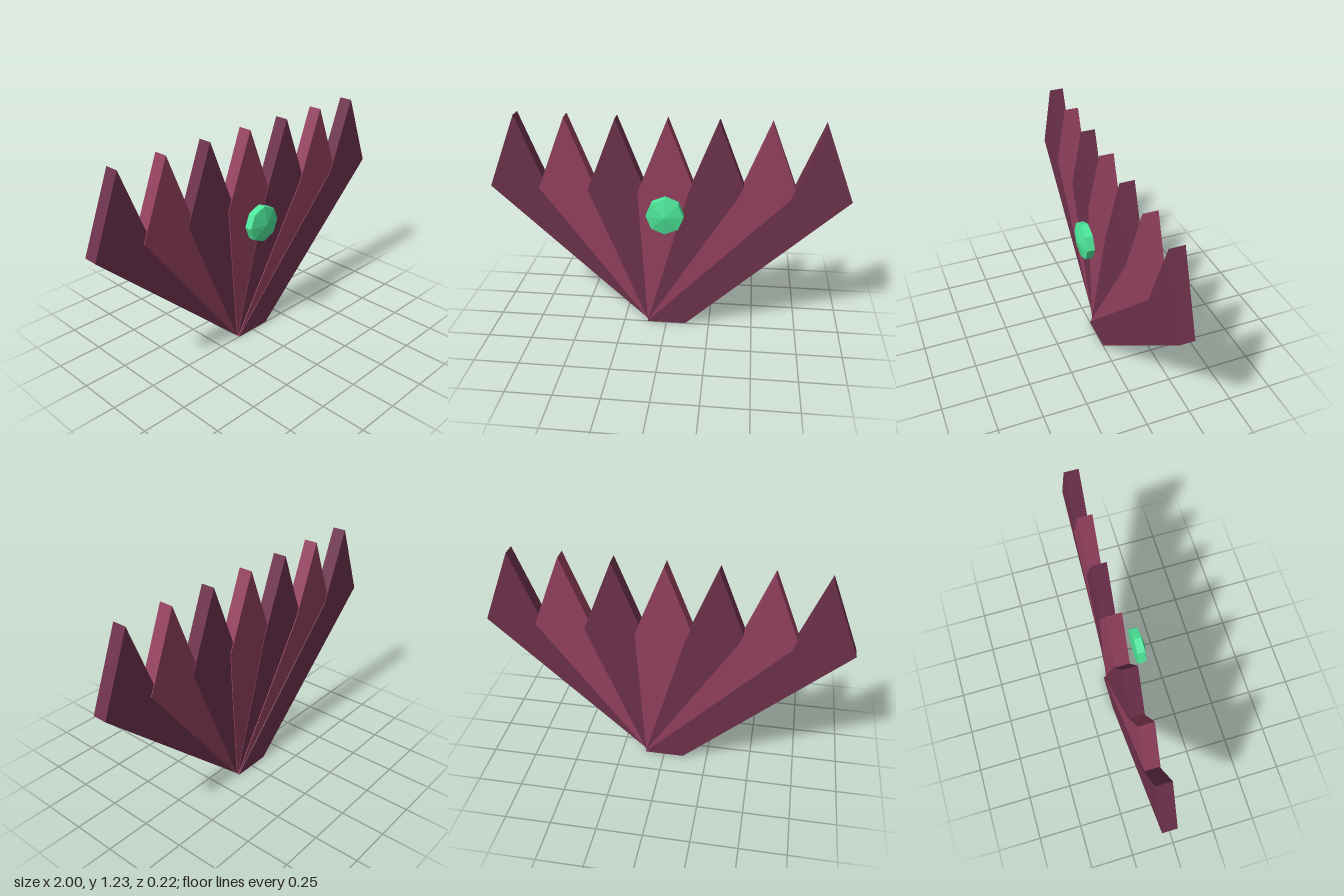
import * as THREE from 'three';

const BLADES = 7, DEPTH = 0.08, STEP = 0.005;
const mat = (color) => new THREE.MeshStandardMaterial({ color, flatShading: true });

// One pointed blade: narrow shared foot, flaring to a shoulder and a tip
function bladeGeometry(tipX) {
  const shape = new THREE.Shape([
    [-0.112, 0], [0.112, 0], [tipX + 0.163, 0.815], [tipX, 1.23], [tipX - 0.163, 0.815],
  ].map(([x, y]) => new THREE.Vector2(x, y)));
  return new THREE.ExtrudeGeometry(shape, { depth: DEPTH, bevelEnabled: false });
}

export function createModel() {
  const model = new THREE.Group();
  model.name = 'fanCrest';
  const dark = mat(0x6e324c), light = mat(0x94415f);

  // Overlapping fan, each blade slightly in front of the one to its -x side
  const fan = new THREE.Group();
  fan.name = 'fan';
  for (let i = 0; i < BLADES; i++) {
    const blade = new THREE.Mesh(bladeGeometry((i - 3) * 0.279), i % 2 ? light : dark);
    blade.name = `blade${i + 1}`;
    blade.position.z = -DEPTH - (BLADES - 1 - i) * STEP;
    fan.add(blade);
  }
  model.add(fan);

  // Eight-sided gem: straight girdle, flat back and shallow pointed face
  const profile = [[0, 0], [0.104, 0], [0.104, 0.043], [0, 0.064]]
    .map(([r, h]) => new THREE.Vector2(r, h));
  const gem = new THREE.Mesh(new THREE.LatheGeometry(profile, 8), mat(0x4de89a));
  gem.name = 'gem';
  gem.rotation.x = Math.PI / 2;
  gem.position.set(0, 0.723, 0.048);
  model.add(gem);

  return model;
}
